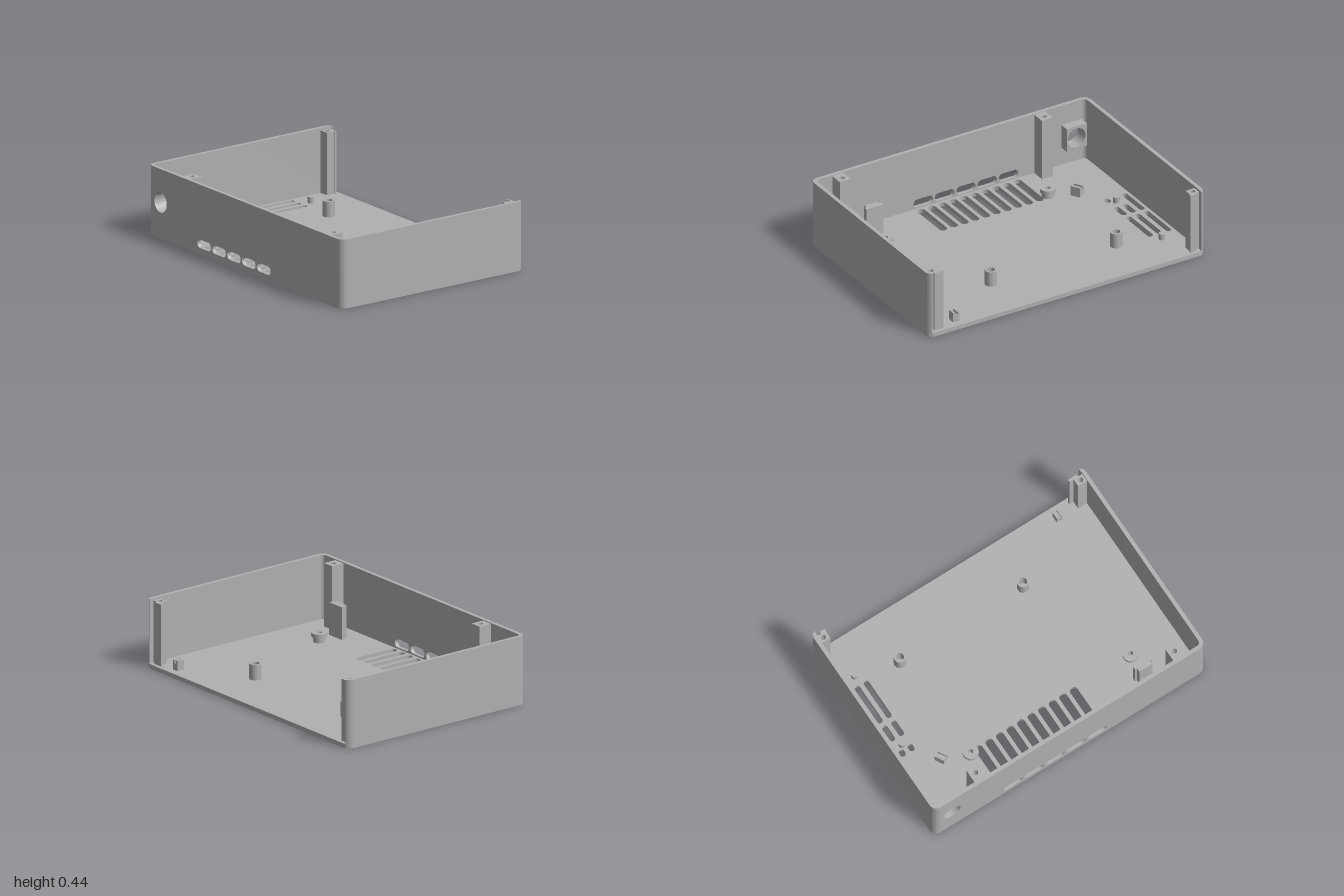
import * as THREE from 'three';
import { toCreasedNormals } from 'three/addons/utils/BufferGeometryUtils.js';

const FLOOR = 0.028, TOP = 0.445, WALL = 0.025, R = 0.05;

export function createModel() {
  const group = new THREE.Group();
  const grey = new THREE.MeshStandardMaterial({ color: 0xb0b0b0 });
  grey.name = 'grey plastic';

  const add = (name, geo) => {
    const mesh = new THREE.Mesh(geo, grey);
    mesh.name = name;
    group.add(mesh);
    return mesh;
  };
  const extrude = (shape, depth) =>
    toCreasedNormals(new THREE.ExtrudeGeometry(shape, { depth, bevelEnabled: false, curveSegments: 12 }), 0.5);
  // Upright extrusion of a plan shape drawn in (x, -z)
  const slab = (name, shape, y0, y1) =>
    add(name, extrude(shape, y1 - y0).rotateX(-Math.PI / 2).translate(0, y0, 0));
  const box = (name, x0, x1, y0, y1, z0, z1) =>
    add(name, new THREE.BoxGeometry(x1 - x0, y1 - y0, z1 - z0)
      .translate((x0 + x1) / 2, (y0 + y1) / 2, (z0 + z1) / 2));

  // Rounded rectangle; also used for slots with fully round ends
  const rounded = (p, x0, x1, y0, y1, r) => {
    p.absarc(x1 - r, y0 + r, r, -Math.PI / 2, 0);
    p.absarc(x1 - r, y1 - r, r, 0, Math.PI / 2);
    p.absarc(x0 + r, y1 - r, r, Math.PI / 2, Math.PI);
    p.absarc(x0 + r, y0 + r, r, Math.PI, Math.PI * 1.5);
    p.closePath();
    return p;
  };
  const rect = (x0, x1, y0, y1) => new THREE.Shape([
    new THREE.Vector2(x0, y0), new THREE.Vector2(x1, y0),
    new THREE.Vector2(x1, y1), new THREE.Vector2(x0, y1)]);
  const round = (x, y, r) => new THREE.Path().absarc(x, y, r, 0, Math.PI * 2);
  const floorSlot = (x, w, z0, z1) => rounded(new THREE.Path(), x - w / 2, x + w / 2, -z1, -z0, w / 2 - 0.0005);

  // Floor with ventilation slots
  const floor = rounded(new THREE.Shape(), -1, 1, -0.7, 0.7, R);
  for (let i = 0; i < 10; i++) floor.holes.push(floorSlot(-0.461 + i * 0.0775, 0.052, 0.355, 0.66));
  [-0.937, -0.872, -0.807].forEach((x, i) => {
    floor.holes.push(floorSlot(x, 0.036, -0.375, -0.09));
    if (i === 0) floor.holes.push(floorSlot(x, 0.036, -0.065, 0.17));
    else floor.holes.push(floorSlot(x, 0.036, -0.065, 0.05), floorSlot(x, 0.036, 0.12, 0.17));
  });
  slab('floor', floor, 0, FLOOR);

  // Front wall with a round opening and a row of slots
  const front = rect(-1 + R, 1 - R, FLOOR, TOP);
  front.holes.push(round(-0.87, 0.23, 0.065));
  for (let i = 0; i < 5; i++) {
    const x = -0.419 + i * 0.154;
    front.holes.push(rounded(new THREE.Path(), x - 0.07, x + 0.07, 0.037, 0.092, 0.027));
  }
  add('frontWall', extrude(front, WALL).translate(0, 0, 0.7 - WALL));

  // Bezel behind the round opening
  const bezel = rect(-0.945, -0.8, 0.15, 0.31);
  bezel.holes.push(round(-0.87, 0.23, 0.065));
  add('openingBezel', extrude(bezel, 0.065).translate(0, 0, 0.61));

  for (const s of [-1, 1]) {
    const side = s < 0 ? 'right' : 'left';
    // Side wall with rounded front and back corners
    const outline = new THREE.Shape();
    outline.moveTo(1 - R, -0.7);
    outline.absarc(1 - R, -0.65, R, -Math.PI / 2, 0);
    outline.absarc(1 - R, 0.65, R, 0, Math.PI * 0.36);
    outline.lineTo(1 - WALL, 0.65);
    outline.lineTo(1 - WALL, -0.65);
    outline.absarc(1 - R, -0.65, R - WALL, 0, -Math.PI / 2, true);
    outline.closePath();
    const pts = outline.getPoints(12).map(p => new THREE.Vector2(p.x * s, p.y));
    slab(side + 'Wall', new THREE.Shape(pts), FLOOR, TOP);

    // Back corner post with screw hole and panel rib
    const px = [s * 0.91, s * 0.98].sort((a, b) => a - b);
    const post = rect(px[0], px[1], 0.605, 0.66);
    post.holes.push(round(s * 0.945, 0.632, 0.016));
    slab(side + 'BackPost', post, FLOOR, TOP - 0.015);
    const rx = [s * (s > 0 ? 0.88 : 0.905), s * 0.945].sort((a, b) => a - b);
    box(side + 'PanelRib', rx[0], rx[1], FLOOR, TOP - 0.015, -0.675, -0.66);
  }

  // Front screw posts
  for (const x of [-0.645, 0.815]) {
    const post = rect(x - 0.04, x + 0.04, -0.68, -0.585);
    post.holes.push(round(x, -0.625, 0.016));
    slab('frontPost', post, FLOOR, TOP - 0.005);
  }

  // Tubular standoffs, turned from a profile
  const standoff = (name, x, z, profile) => {
    const geo = new THREE.LatheGeometry(profile.map(p => new THREE.Vector2(p[0], p[1])), 32);
    add(name, toCreasedNormals(geo, 0.5)).position.set(x, FLOOR, z);
  };
  for (const x of [-0.56, 0.345])
    standoff('backStandoff', x, -0.36, [[0.038, 0], [0.038, 0.1], [0.025, 0.1], [0.025, 0.002], [0, 0.002]]);
  for (const x of [-0.525, 0.65])
    standoff('frontStandoff', x, 0.385,
      [[0.038, 0], [0.038, 0.035], [0.05, 0.035], [0.05, 0.06], [0.016, 0.06], [0.016, 0.002], [0, 0.002]]);

  // Small pegs beside the side slots
  for (const z of [-0.435, 0.1])
    add('peg', new THREE.CylinderGeometry(0.02, 0.02, 0.04, 20)).position.set(-0.845, FLOOR + 0.02, z);

  // Upright support plate with a backing rib
  box('supportPlate', 0.585, 0.71, FLOOR, 0.24, 0.51, 0.535);
  box('supportRib', 0.6, 0.695, FLOOR, 0.24, 0.535, 0.56);

  // Notched cable clips: two cheeks on a low base
  const clip = (x, z, w, d, angle) => {
    const holder = new THREE.Group();
    holder.name = 'cableClip';
    for (const [cx, cw, h] of [[-w / 3, w / 3, 0.065], [0, w / 3, 0.045], [w / 3, w / 3, 0.065]]) {
      const part = new THREE.Mesh(new THREE.BoxGeometry(cw, h, d).translate(cx, h / 2, 0), grey);
      part.name = 'clipPart';
      holder.add(part);
    }
    holder.position.set(x, FLOOR, z);
    holder.rotation.y = angle;
    group.add(holder);
  };
  clip(0.773, -0.625, 0.045, 0.05, 0);
  clip(-0.69, 0.307, 0.055, 0.065, Math.PI / 6);

  return group;
}
